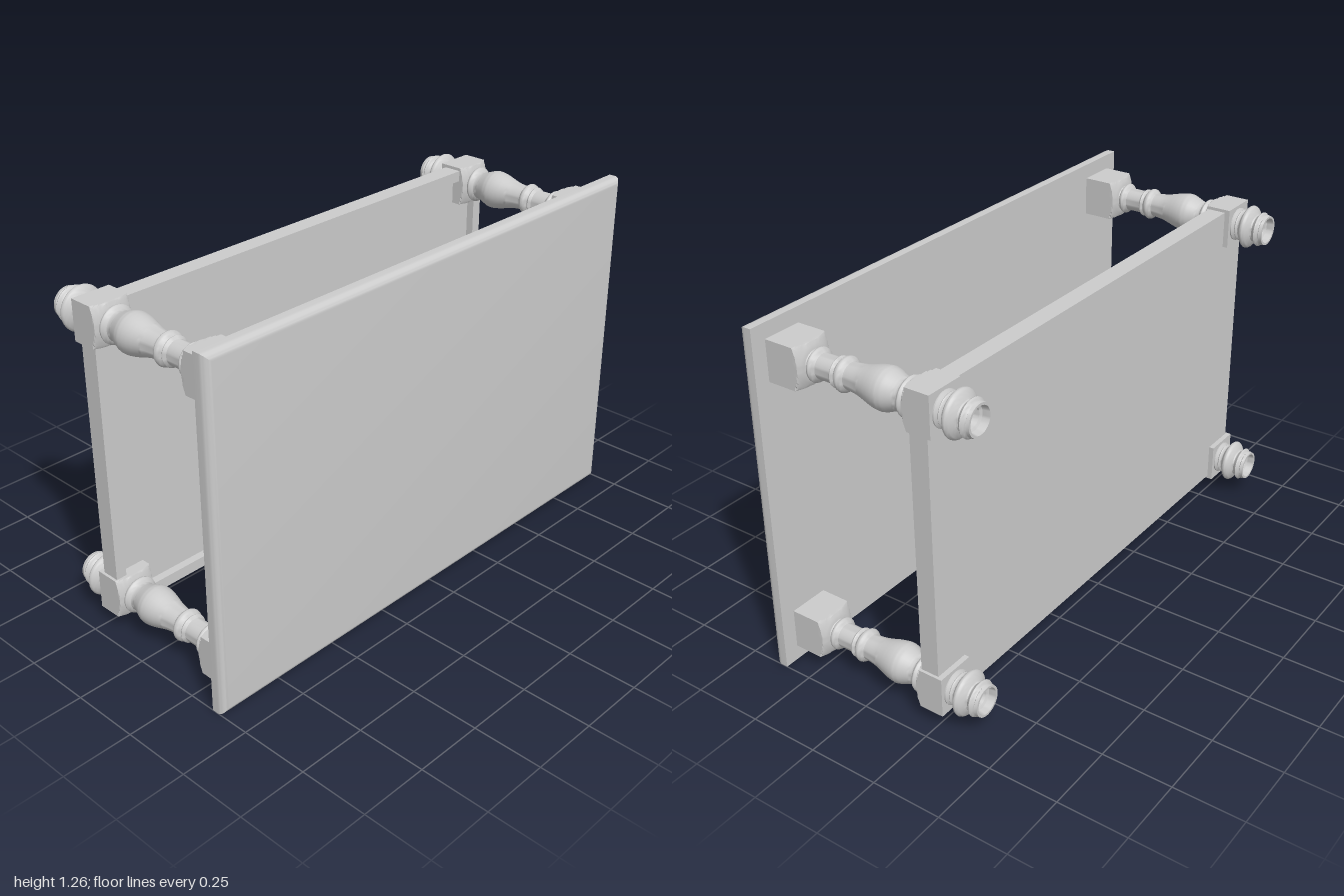
import * as THREE from 'three';
import { toCreasedNormals } from 'three/addons/utils/BufferGeometryUtils.js';

const material = new THREE.MeshStandardMaterial({ color: 0xcccccc });
const LEG_X = 0.873, MID_Y = 0.628, LEG_Y = 0.502, HALF = 0.072;

// Skin a stack of counter-clockwise rings (ascending z) and cap both ends
function loft(rings, crease = 0.5) {
  const n = rings[0].length, pos = [], index = [];
  rings.forEach(r => r.forEach(p => pos.push(...p)));
  for (let i = 0; i < rings.length - 1; i++) {
    for (let j = 0; j < n; j++) {
      const a = i * n + j, b = i * n + (j + 1) % n;
      index.push(a, b, b + n, a, b + n, a + n);
    }
  }
  const last = (rings.length - 1) * n, c = rings.length * n;
  pos.push(0, 0, rings[0][0][2], 0, 0, rings[rings.length - 1][0][2]);
  for (let j = 0; j < n; j++) {
    const k = (j + 1) % n;
    index.push(c, k, j, c + 1, last + j, last + k);
  }
  const g = new THREE.BufferGeometry();
  g.setAttribute('position', new THREE.Float32BufferAttribute(pos, 3));
  g.setIndex(index);
  return toCreasedNormals(g, crease);
}

function add(parent, name, geometry, x = 0, y = 0, z = 0) {
  const mesh = new THREE.Mesh(geometry, material);
  mesh.name = name;
  mesh.position.set(x, y, z);
  parent.add(mesh);
  return mesh;
}

// Square block whose corners are turned down to radius R at each [z, R]
function turnedBlock(rows) {
  const N = 48;
  return loft(rows.map(([z, R]) => Array.from({ length: N }, (_, j) => {
    const t = j / N * Math.PI * 2, c = Math.cos(t), s = Math.sin(t);
    const r = Math.min(HALF / Math.max(Math.abs(c), Math.abs(s)), R);
    return [r * c, r * s, z];
  })));
}

// Rounded bead between two heights, as [radius, z] points
function bead(z0, z1, base, peak, steps = 8) {
  return Array.from({ length: steps + 1 }, (_, i) => {
    const t = i / steps;
    return [base + (peak - base) * Math.sin(Math.PI * t), z0 + (z1 - z0) * t];
  });
}

// Turned part around the z axis
function turning(points) {
  const g = new THREE.LatheGeometry(points.map(p => new THREE.Vector2(...p)), 32);
  return toCreasedNormals(g.rotateX(Math.PI / 2), 0.7);
}

// Tabletop: sharp back edge, rounded front edge, square corners
function tabletopGeometry() {
  const rect = (inset, z) => {
    const w = 1 - inset, h = 0.628 - inset;
    return [[-w, -h, z], [w, -h, z], [w, h, z], [-w, h, z]];
  };
  const rings = [rect(0, 0.35)], R = 0.026;
  for (let i = 0; i <= 8; i++) {
    const a = i / 8 * Math.PI / 2;
    rings.push(rect(R * (1 - Math.cos(a)), 0.4 - R + R * Math.sin(a)));
  }
  return loft(rings);
}

export function createModel() {
  const model = new THREE.Group();
  add(model, 'tabletop', tabletopGeometry(), 0, MID_Y, 0);

  // Shelf panel with a raised rim on the side facing the tabletop
  const shelf = new THREE.Group();
  shelf.name = 'shelf';
  model.add(shelf);
  const W = 0.935, H = 0.563, RIM = 0.04;
  add(shelf, 'shelfPanel', new THREE.BoxGeometry(2 * W, 2 * H, 0.037), 0, MID_Y, -0.2385);
  const frame = new THREE.Shape([[-W, -H], [W, -H], [W, H], [-W, H]].map(p => new THREE.Vector2(...p)));
  const w = W - RIM, h = H - RIM;
  frame.holes.push(new THREE.Path([[-w, -h], [-w, h], [w, h], [w, -h]].map(p => new THREE.Vector2(...p))));
  add(shelf, 'shelfRim', new THREE.ExtrudeGeometry(frame, { depth: 0.03, bevelEnabled: false }), 0, MID_Y, -0.22);

  // Vase section, smoothed through a few points
  const vase = new THREE.SplineCurve([
    [0.05, -0.128], [0.057, -0.108], [0.068, -0.08], [0.07, -0.06], [0.065, -0.03],
    [0.055, 0.005], [0.048, 0.035], [0.044, 0.072],
  ].map(p => new THREE.Vector2(...p))).getPoints(28).map(p => [p.x, p.y]);

  const spindle = turning([
    [0, -0.175], [0.052, -0.175],
    ...bead(-0.166, -0.137, 0.052, 0.066),
    ...vase,
    ...bead(0.074, 0.110, 0.044, 0.058),
    ...bead(0.112, 0.126, 0.044, 0.051, 6),
    [0.042, 0.128], [0.042, 0.186],
    ...bead(0.188, 0.216, 0.044, 0.057),
    [0.05, 0.222], [0, 0.222],
  ]);

  // Foot with a hollow end
  const foot = turning([
    [0, -0.345], [0.028, -0.345], [0.034, -0.37], [0.042, -0.375], [0.046, -0.4],
    [0.054, -0.4], [0.056, -0.389], [0.05, -0.385],
    ...bead(-0.382, -0.364, 0.052, 0.063, 6),
    [0.048, -0.357],
    ...bead(-0.352, -0.304, 0.05, 0.079, 12),
    [0.049, -0.302],
    ...bead(-0.3, -0.288, 0.049, 0.057, 6),
    [0.052, -0.286], [0.06, -0.28], [0.06, -0.274], [0, -0.274],
  ]);

  const topBlock = turnedBlock([
    [0.219, 0.05], [0.223, 0.062], [0.228, 0.073], [0.232, 0.083],
    [0.237, 0.093], [0.243, 0.103], [0.351, 0.103],
  ]);
  const shelfBlock = turnedBlock([
    [-0.276, 0.103], [-0.187, 0.103], [-0.181, 0.093], [-0.176, 0.083],
    [-0.171, 0.073], [-0.167, 0.062], [-0.163, 0.05],
  ]);

  // Four legs
  for (const sx of [-1, 1]) {
    for (const sy of [-1, 1]) {
      const leg = new THREE.Group();
      leg.name = (sy > 0 ? 'upper' : 'lower') + (sx > 0 ? 'Left' : 'Right') + 'Leg';
      leg.position.set(sx * LEG_X, MID_Y + sy * LEG_Y, 0);
      add(leg, 'topBlock', topBlock);
      add(leg, 'spindle', spindle);
      add(leg, 'shelfBlock', shelfBlock);
      add(leg, 'foot', foot);
      model.add(leg);
    }
  }
  return model;
}
